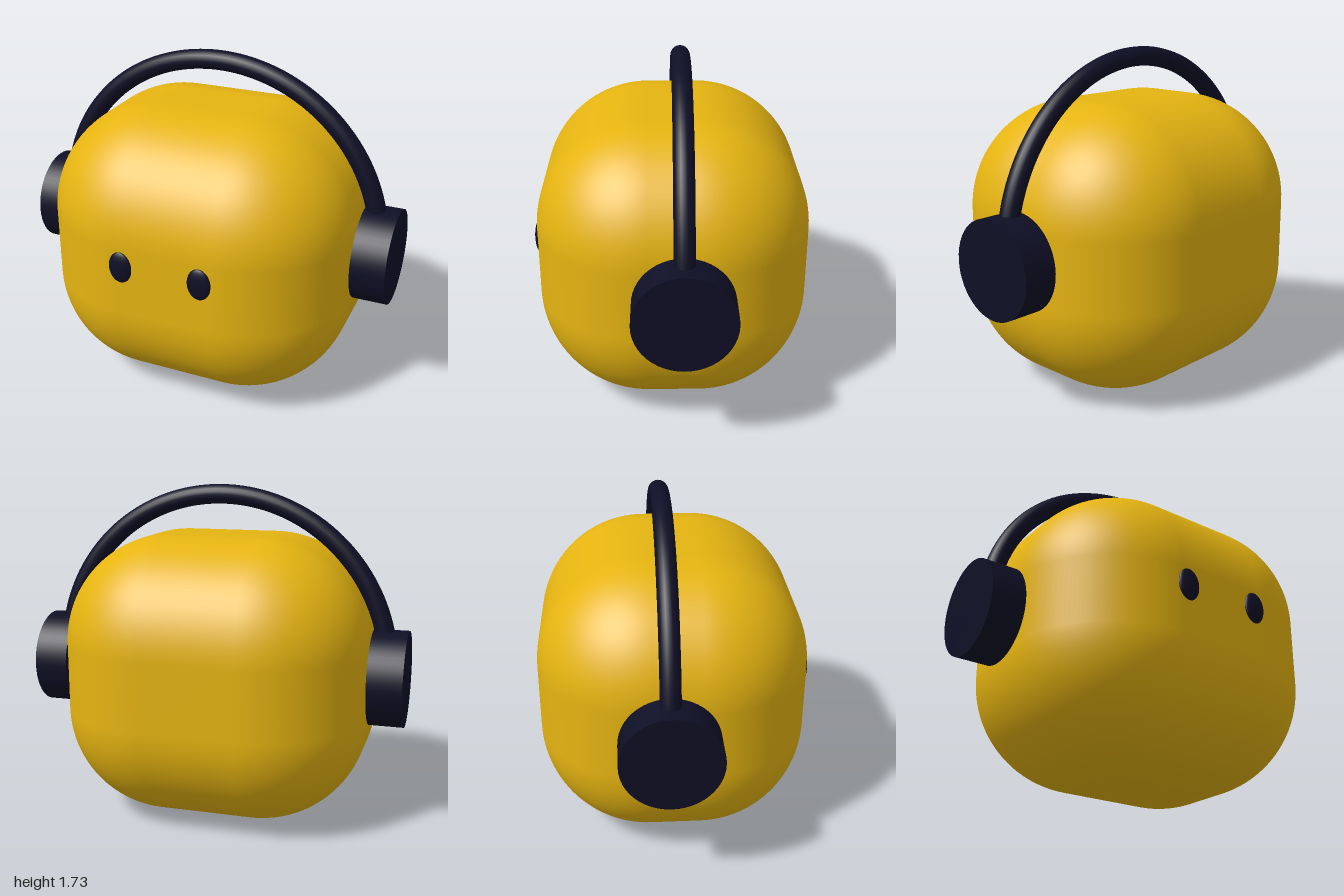
import * as THREE from 'three';
import { RoundedBoxGeometry } from 'three/addons/geometries/RoundedBoxGeometry.js';

export function createModel() {
  const model = new THREE.Group();
  model.name = 'headWithHeadphones';

  const gold = new THREE.MeshStandardMaterial({ color: 0xe5b411 });
  gold.name = 'gold';
  const navy = new THREE.MeshStandardMaterial({ color: 0x0f0f26 });
  navy.name = 'darkNavy';

  // Everything is turned a little to its own left
  const figure = new THREE.Group();
  figure.name = 'figure';
  figure.position.x = 0.015;
  figure.rotation.y = THREE.MathUtils.degToRad(24);
  model.add(figure);

  function add(name, geometry, material, x, y, z, parent = figure) {
    const mesh = new THREE.Mesh(geometry, material);
    mesh.name = name;
    mesh.position.set(x, y, z);
    parent.add(mesh);
    return mesh;
  }

  // Soft, heavily rounded head
  const height = 1.476;
  add('head', new RoundedBoxGeometry(1.608, height, 1.38, 16, 0.562), gold, 0, height / 2, 0);

  // Headphones: band arching between two thick discs
  const headphones = new THREE.Group();
  headphones.name = 'headphones';
  headphones.position.z = -0.044;
  figure.add(headphones);
  add('headband', new THREE.TorusGeometry(0.885, 0.05, 20, 80, Math.PI), navy, 0, 0.795, 0, headphones);

  const cup = new THREE.CylinderGeometry(0.248, 0.248, 0.178, 48);
  cup.rotateZ(Math.PI / 2);
  const eye = new THREE.SphereGeometry(1, 32, 20);
  eye.scale(0.061, 0.083, 0.022);

  for (const [side, s] of [['left', 1], ['right', -1]]) {
    add(side + 'EarCup', cup, navy, s * 0.893, 0.763, 0, headphones);
    // Flat oval eyes on the front face
    add(side + 'Eye', eye, navy, s * 0.209, 0.818, 0.69);
  }

  return model;
}
